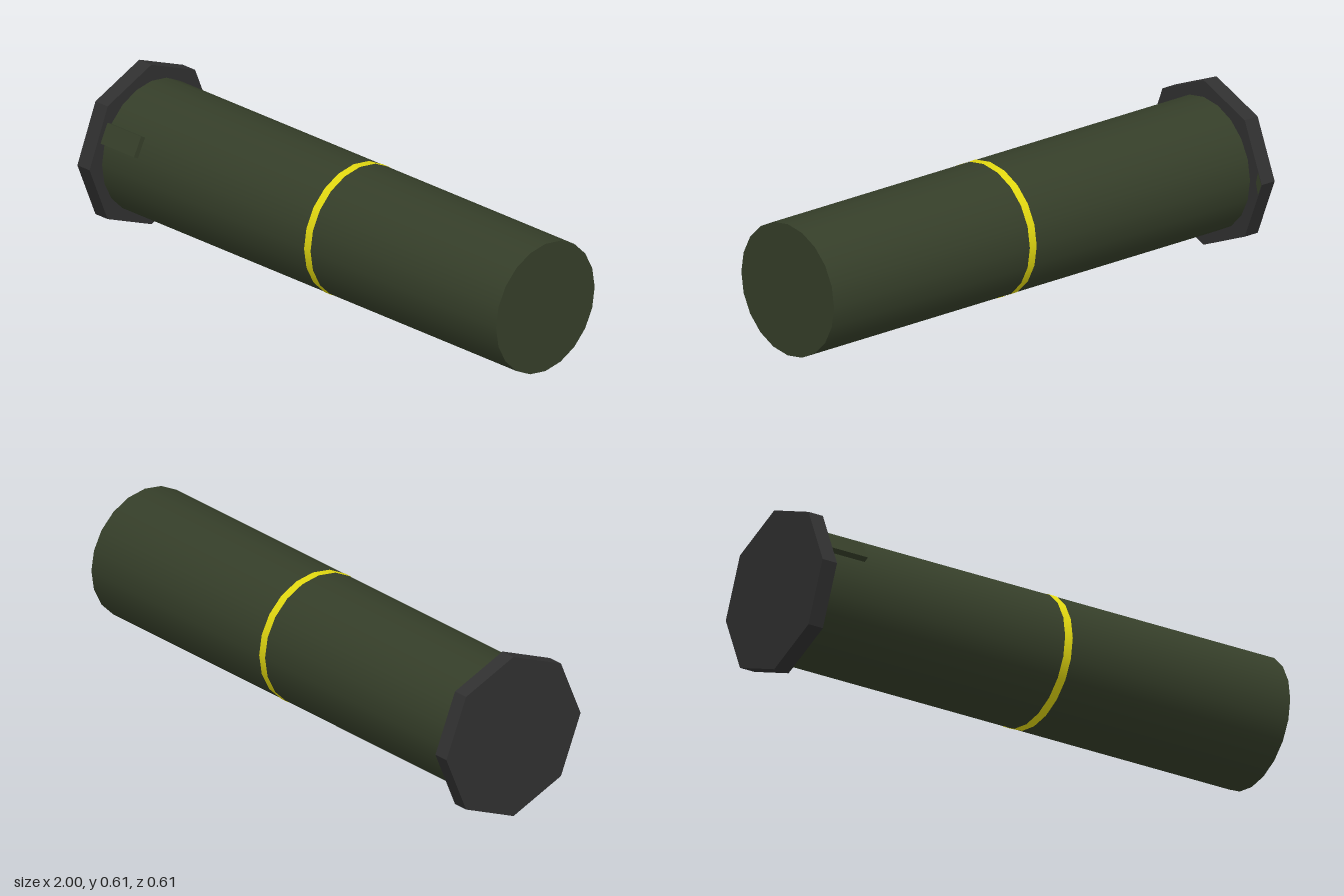
import * as THREE from 'three';

const AXIS_Y = 0.306;

function material(name, color, extra = {}) {
  const m = new THREE.MeshStandardMaterial({ color, ...extra });
  m.name = name;
  return m;
}

// Cylinder lying along x between two stations
function tube(name, radius, x0, x1, sides, mat, open = false) {
  const geo = new THREE.CylinderGeometry(radius, radius, x1 - x0, sides, 1, open);
  geo.rotateZ(-Math.PI / 2);
  const mesh = new THREE.Mesh(geo, mat);
  mesh.name = name;
  mesh.position.set((x0 + x1) / 2, AXIS_Y, 0);
  return mesh;
}

export function createModel() {
  const green = material('olive green', 0x353e29);
  const grey = material('dark grey', 0x303030, { flatShading: true });
  const yellow = material('yellow', 0xe2d810, { side: THREE.DoubleSide });

  const model = new THREE.Group();
  model.name = 'cartridge';

  // Smooth body, octagonal base flange and painted ring
  model.add(tube('body', 0.244, -0.95, 1, 20, green));
  model.add(tube('baseFlange', 0.306, -1, -0.94, 8, grey));
  model.add(tube('paintedBand', 0.2455, 0.056, 0.088, 20, yellow, true));

  // Locating lug lying on one facet of the body, next to the flange
  const lugAngle = THREE.MathUtils.degToRad(27);
  const lug = new THREE.Mesh(new THREE.BoxGeometry(0.165, 0.077, 0.03), green);
  lug.name = 'locatingLug';
  lug.position.set(-0.8575, AXIS_Y + Math.sin(lugAngle) * 0.248, Math.cos(lugAngle) * 0.248);
  lug.rotation.x = -lugAngle;
  model.add(lug);

  // Small green mark on the rear corner of the flange
  const corner = new THREE.Shape([
    new THREE.Vector2(0.305, 0),
    new THREE.Vector2(0.287, 0.043),
    new THREE.Vector2(0.276, 0),
    new THREE.Vector2(0.287, -0.043),
  ]);
  const mark = new THREE.Mesh(new THREE.ShapeGeometry(corner), green);
  mark.name = 'flangeCornerMark';
  mark.rotation.y = Math.PI / 2;
  mark.position.set(-0.939, AXIS_Y, 0);
  model.add(mark);

  return model;
}
